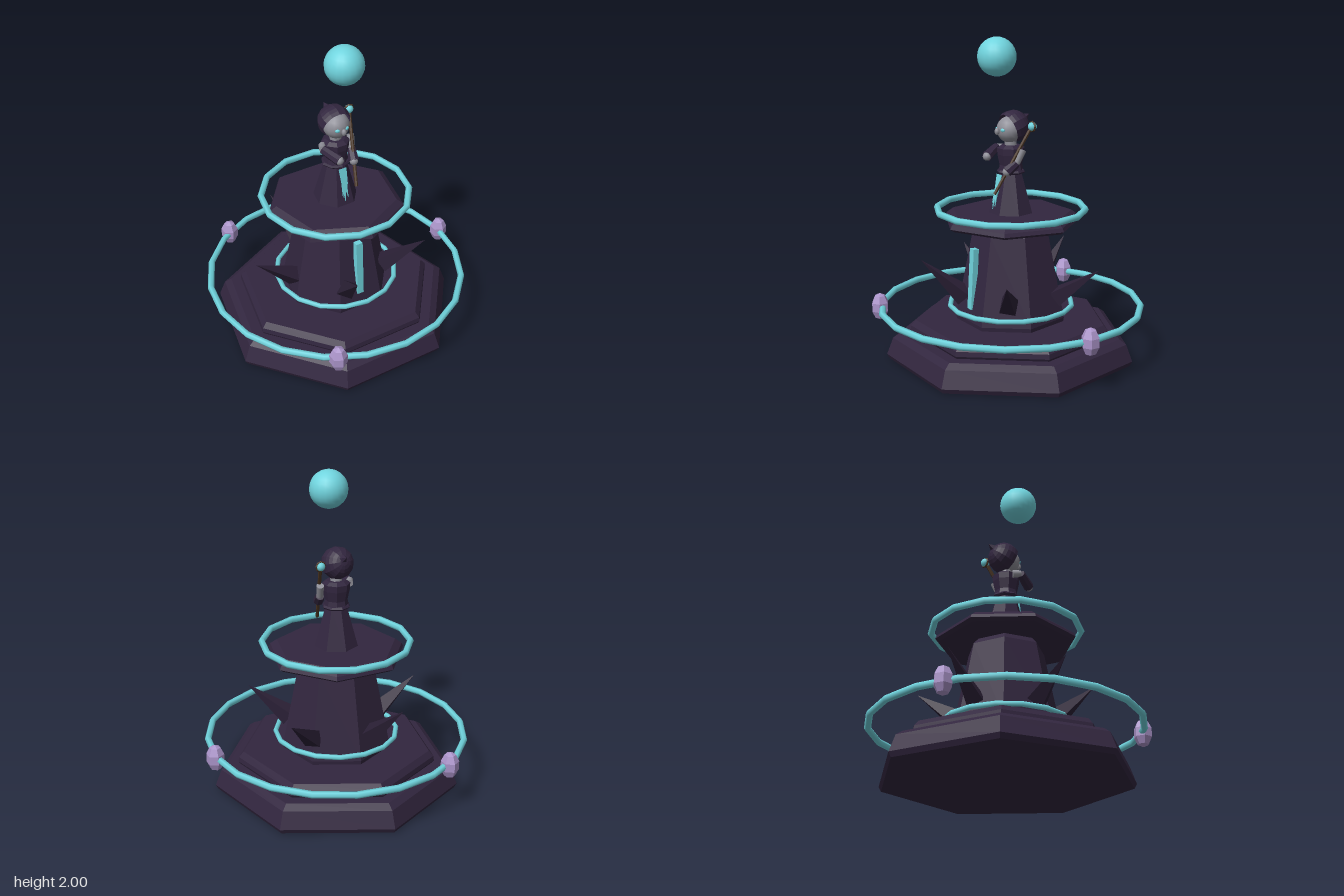
import * as THREE from 'three';

const material = (name, color, extra = {}) => {
  const m = new THREE.MeshStandardMaterial({ color, ...extra });
  m.name = name;
  return m;
};

export function createModel() {
  const flat = { flatShading: true };
  const stone = material('dark purple stone', 0x32263f, { ...flat, side: THREE.DoubleSide });
  const thorn = material('thorn purple', 0x2b2036, flat);
  const glow = material('cyan glow', 0x70d4de, { side: THREE.DoubleSide });
  const skin = material('pale grey', 0x8f8f98);
  const crystal = material('lilac crystal', 0xab94ca, flat);
  const wood = material('brown wood', 0x4a3422, flat);

  const model = new THREE.Group();
  model.name = 'wizardTower';
  const root = new THREE.Group();
  root.name = 'tower';
  root.position.set(-0.015, 0, -0.003);
  model.add(root);

  const add = (name, geometry, mat, x = 0, y = 0, z = 0, parent = root) => {
    const mesh = new THREE.Mesh(geometry, mat);
    mesh.name = name;
    mesh.position.set(x, y, z);
    parent.add(mesh);
    return mesh;
  };
  // Closed prism with a [radius, y] profile, listed from the bottom up
  const prism = (name, profile, sides = 7, turn = Math.PI, parent = root) => {
    const pts = [[0, profile[0][1]], ...profile, [0, profile.at(-1)[1]]];
    const geo = new THREE.LatheGeometry(pts.map(p => new THREE.Vector2(...p)), sides, turn);
    return add(name, geo, stone, 0, 0, 0, parent);
  };
  // Tapered rod between two points
  const rod = (name, from, to, r0, r1, mat, sides, parent = root) => {
    const a = new THREE.Vector3(...from), b = new THREE.Vector3(...to);
    const mesh = add(name, new THREE.CylinderGeometry(r1, r0, a.distanceTo(b), sides), mat, 0, 0, 0, parent);
    mesh.position.copy(a).add(b).multiplyScalar(0.5);
    mesh.quaternion.setFromUnitVectors(new THREE.Vector3(0, 1, 0), b.sub(a).normalize());
    return mesh;
  };
  const ring = (name, radius, tube, segments, y) => {
    add(name, new THREE.TorusGeometry(radius, tube, 6, segments).rotateX(Math.PI / 2), glow, 0, y, 0);
  };

  // Stepped seven-sided base, tower and top plate
  prism('basePlinth', [[0.768, 0], [0.784, 0.03], [0.744, 0.135], [0.7, 0.165]]);
  prism('baseStep', [[0.625, 0.165], [0.634, 0.18], [0.63, 0.21], [0.6, 0.245]]);
  prism('towerShaft', [[0.342, 0.245], [0.346, 0.27], [0.238, 0.81], [0.205, 0.848]]);
  prism('topPlate', [[0.41, 0.85], [0.434, 0.867], [0.424, 0.89], [0.38, 0.922]], 7, 0);

  // Glowing rings and front light strip
  ring('outerRing', 0.814, 0.021, 20, 0.325);
  ring('innerRing', 0.385, 0.016, 16, 0.336);
  ring('upperRing', 0.46, 0.021, 14, 0.944);
  const strip = add('lightStrip', new THREE.BoxGeometry(0.045, 0.38, 0.037), glow, 0, 0.535, 0.278);
  strip.rotation.x = -0.058;

  // Crystals carried by the outer ring
  for (let i = 0; i < 3; i++) {
    const a = i * Math.PI * 2 / 3;
    const geo = new THREE.SphereGeometry(0.058, 6, 5).rotateY(Math.PI / 6).scale(1, 1.5, 1);
    add('crystal', geo, crystal, 0.82 * Math.cos(a), 0.325, 0.82 * Math.sin(a));
  }

  // Five thorns leaning out of the tower
  for (let i = 0; i < 5; i++) {
    const a = Math.PI + i * Math.PI * 2 / 5;
    const tipY = i === 1 || i === 4 ? 0.655 : 0.6;
    const c = Math.cos(a), s = Math.sin(a);
    rod('thorn', [0.3 * c, 0.405, 0.3 * s], [0.57 * c, tipY, 0.57 * s], 0.07, 0, thorn, 4);
  }

  // Floating orb
  add('floatingOrb', new THREE.SphereGeometry(0.118, 20, 14), glow, 0, 1.882, 0.1);

  // Robed figure
  const figure = new THREE.Group();
  figure.name = 'wizard';
  root.add(figure);
  prism('robeSkirt', [[0.138, 0.92], [0.066, 1.18]], 7, Math.PI, figure);
  prism('belt', [[0.08, 1.168], [0.088, 1.178], [0.08, 1.19]], 8, 0, figure);
  prism('robeTorso', [[0.076, 1.185], [0.07, 1.22], [0.084, 1.285], [0.086, 1.325], [0.06, 1.342]], 8, Math.PI / 8, figure);
  rod('neck', [0, 1.33, 0], [0, 1.38, 0.005], 0.038, 0.036, skin, 8, figure);

  // Ragged sash hanging from the belt
  const sashShape = new THREE.Shape([
    [-0.026, 0.215], [0.026, 0.215], [0.022, 0.1], [0.017, 0.13], [0.016, 0.02],
    [0.006, 0.07], [-0.006, 0], [-0.012, 0.06], [-0.02, 0.03], [-0.019, 0.13]
  ].map(p => new THREE.Vector2(...p)));
  const sash = add('sash', new THREE.ExtrudeGeometry(sashShape, { depth: 0.006, bevelEnabled: false }),
    glow, 0, 0.955, 0.128, figure);
  sash.rotation.x = -0.22;

  // Head, face and hood
  add('head', new THREE.SphereGeometry(0.082, 14, 10), skin, 0, 1.438, 0.008, figure);
  const nose = add('nose', new THREE.SphereGeometry(0.016, 8, 6), skin, 0, 1.432, 0.1, figure);
  nose.scale.y = 1.4;
  for (const side of [-1, 1]) {
    const eye = add('eye', new THREE.SphereGeometry(0.016, 8, 6), glow, side * 0.033, 1.441, 0.081, figure);
    eye.scale.set(1, 0.7, 0.5);
    eye.rotation.y = side * 0.4;
  }
  const hoodGeo = new THREE.SphereGeometry(0.1, 12, 8, 0, Math.PI * 2, 1.2, Math.PI - 1.2);
  const hood = add('hood', hoodGeo, stone, 0, 1.455, -0.015, figure);
  hood.rotation.x = Math.PI / 2 + 0.35;
  rod('hoodPoint', [0, 1.49, -0.07], [0, 1.52, -0.135], 0.045, 0, stone, 5, figure);

  // Raised right arm and left arm gripping the staff
  const arm = (name, shoulder, elbow, hand) => {
    const group = new THREE.Group();
    group.name = name;
    figure.add(group);
    rod('upperArm', shoulder, elbow, 0.024, 0.022, skin, 8, group);
    rod('sleeve', elbow, hand, 0.027, 0.033, stone, 7, group);
    add('hand', new THREE.SphereGeometry(0.027, 10, 8), skin, ...hand, group);
  };
  arm('rightArm', [-0.085, 1.31, -0.01], [-0.108, 1.315, 0.035], [-0.055, 1.275, 0.138]);
  arm('leftArm', [0.112, 1.325, -0.01], [0.098, 1.245, 0.025], [0.08, 1.195, 0.083]);

  // Staff with a caged orb
  rod('staff', [0.055, 1.06, 0.155], [0.13, 1.445, -0.05], 0.01, 0.011, wood, 6, figure);
  add('staffOrb', new THREE.IcosahedronGeometry(0.028, 1), glow, 0.135, 1.466, -0.065, figure);
  add('staffCage', new THREE.TorusGeometry(0.028, 0.007, 5, 8), wood, 0.135, 1.466, -0.065, figure);

  return model;
}
